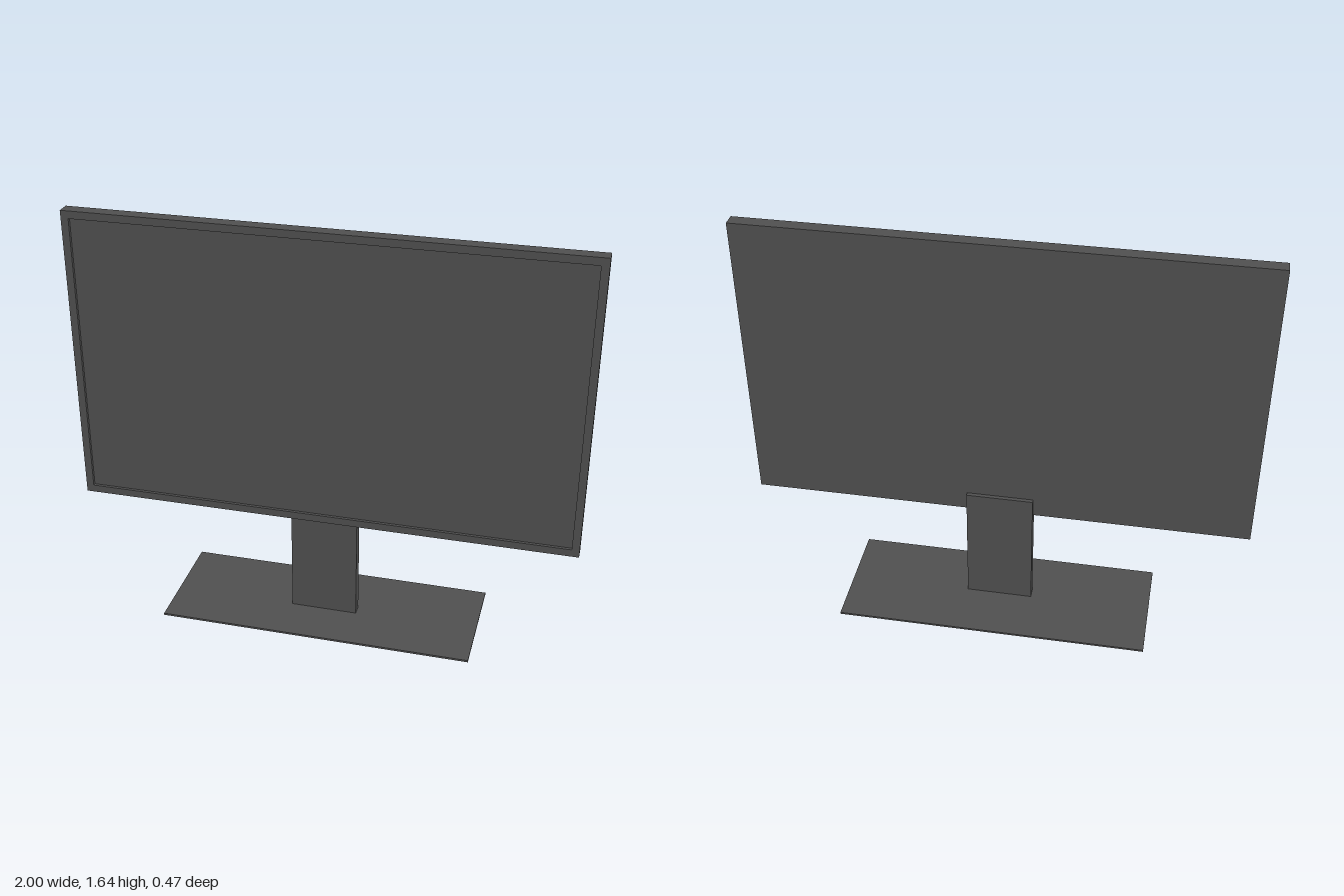
import * as THREE from 'three';

export function createModel() {
  const model = new THREE.Group();
  const grey = new THREE.MeshStandardMaterial({ color: 0x505050 });
  grey.name = 'dark grey';

  const add = (name, geometry) => {
    const mesh = new THREE.Mesh(geometry, grey);
    mesh.name = name;
    model.add(mesh);
  };

  // Box given by its lower and upper corners
  const box = (name, [x0, y0, z0], [x1, y1, z1]) =>
    add(name, new THREE.BoxGeometry(x1 - x0, y1 - y0, z1 - z0)
      .translate((x0 + x1) / 2, (y0 + y1) / 2, (z0 + z1) / 2));

  const rectangle = (PathType, x, y0, y1) => new PathType([
    new THREE.Vector2(-x, y0), new THREE.Vector2(x, y0),
    new THREE.Vector2(x, y1), new THREE.Vector2(-x, y1),
  ]);

  const back = 0.012, front = 0.066, recess = 0.012;

  // Housing as a full-depth frame around the recessed screen
  const frame = rectangle(THREE.Shape, 1, 0.44, 1.64);
  frame.holes.push(rectangle(THREE.Path, 0.97, 0.47, 1.61));
  add('screenFrame', new THREE.ExtrudeGeometry(frame, { depth: front - back, bevelEnabled: false })
    .translate(0, 0, back));
  box('screenPanel', [-0.97, 0.47, back], [0.97, 1.61, front - recess]);

  // Upright, set slightly into the back of the housing
  box('standNeck', [-0.137, 0.008, -0.004], [0.131, 0.517, 0.04]);

  // Thin foot plate
  box('standBase', [-0.629, 0, -0.235], [0.625, 0.008, 0.235]);

  return model;
}
